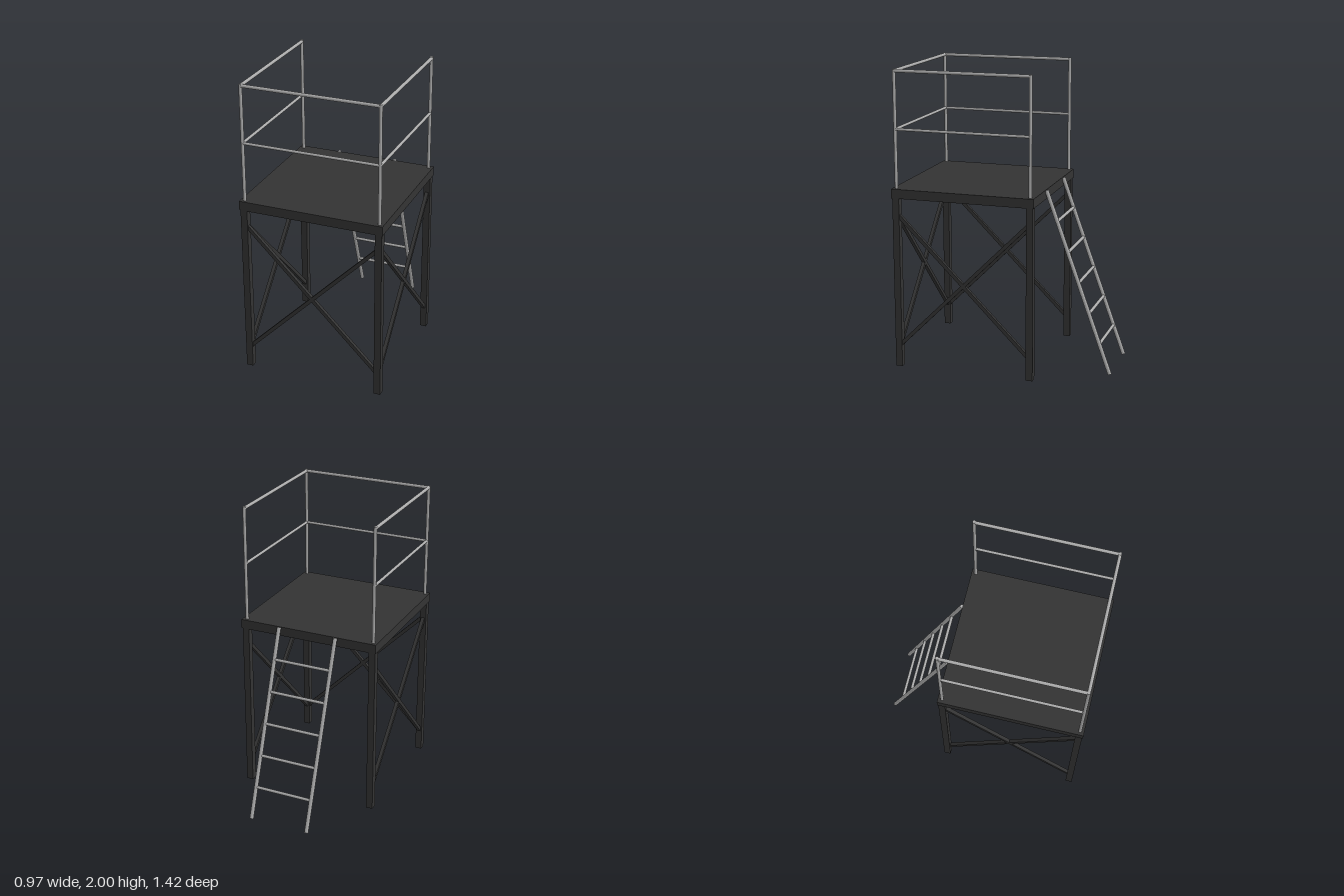
import * as THREE from 'three';

const V = (x, y, z) => new THREE.Vector3(x, y, z);

export function createModel() {
  const model = new THREE.Group();
  model.name = 'accessPlatform';

  const darkSteel = new THREE.MeshStandardMaterial({ color: 0x333333 });
  darkSteel.name = 'dark steel';
  const greySteel = new THREE.MeshStandardMaterial({ color: 0xaaaaaa });
  greySteel.name = 'grey steel';

  const group = (name) => {
    const g = new THREE.Group();
    g.name = name;
    model.add(g);
    return g;
  };

  const box = (parent, name, w, h, d, x, y, z) => {
    const mesh = new THREE.Mesh(new THREE.BoxGeometry(w, h, d), darkSteel);
    mesh.name = name;
    mesh.position.set(x, y, z);
    parent.add(mesh);
    return mesh;
  };

  // Round bar running from a to b
  const bar = (parent, name, a, b, r) => {
    const dir = b.clone().sub(a);
    const mesh = new THREE.Mesh(new THREE.CylinderGeometry(r, r, dir.length(), 12), greySteel);
    mesh.name = name;
    mesh.position.copy(a).add(b).multiplyScalar(0.5);
    mesh.quaternion.setFromUnitVectors(V(0, 1, 0), dir.normalize());
    parent.add(mesh);
  };

  const half = 0.455;              // leg offset from the deck centre
  const midZ = 0.227;              // deck centre
  const front = midZ + half, back = midZ - half;
  const deckTop = 1.222, deckBottom = 1.16, foot = 0.005;

  // Deck
  box(model, 'deck', 0.966, deckTop - deckBottom, 0.966, 0, (deckTop + deckBottom) / 2, midZ);

  // Legs
  const legs = group('legs');
  for (const x of [-half, half])
    for (const z of [back, front])
      box(legs, 'leg', 0.045, deckBottom - foot, 0.045, x, (deckBottom + foot) / 2, z);

  // Cross braces on the front and both sides; the ladder side stays open
  const braces = group('crossBraces');
  const braceLength = 2 * half * Math.SQRT2;
  for (const tilt of [-Math.PI / 4, Math.PI / 4]) {
    box(braces, 'frontBrace', 0.024, braceLength, 0.024, 0, 0.6, front).rotation.z = tilt;
    for (const x of [-half, half])
      box(braces, 'sideBrace', 0.024, braceLength, 0.024, x, 0.6, midZ).rotation.x = tilt;
  }

  // Guard rail: four posts with top and middle rails on three sides
  const guard = group('guardRail');
  for (const x of [-half, half])
    for (const z of [back, front])
      bar(guard, 'post', V(x, deckTop - 0.01, z), V(x, 2, z), 0.011);
  for (const [y, r, name] of [[1.989, 0.011, 'topRail'], [1.612, 0.0095, 'middleRail']]) {
    bar(guard, name, V(-half, y, front), V(half, y, front), r);
    for (const x of [-half, half]) bar(guard, name, V(x, y, back), V(x, y, front), r);
  }

  // Leaning ladder at the back
  const ladder = group('ladder');
  const bottom = V(0.202, foot, -0.7), top = V(0.202, 1.22, -0.26);
  const mirror = (p) => V(-p.x, p.y, p.z);
  bar(ladder, 'ladderRail', bottom, top, 0.0135);
  bar(ladder, 'ladderRail', mirror(bottom), mirror(top), 0.0135);
  for (let i = 1; i <= 5; i++) {
    const p = bottom.clone().lerp(top, i / 6);
    bar(ladder, 'rung', mirror(p), p, 0.0105);
  }

  return model;
}
